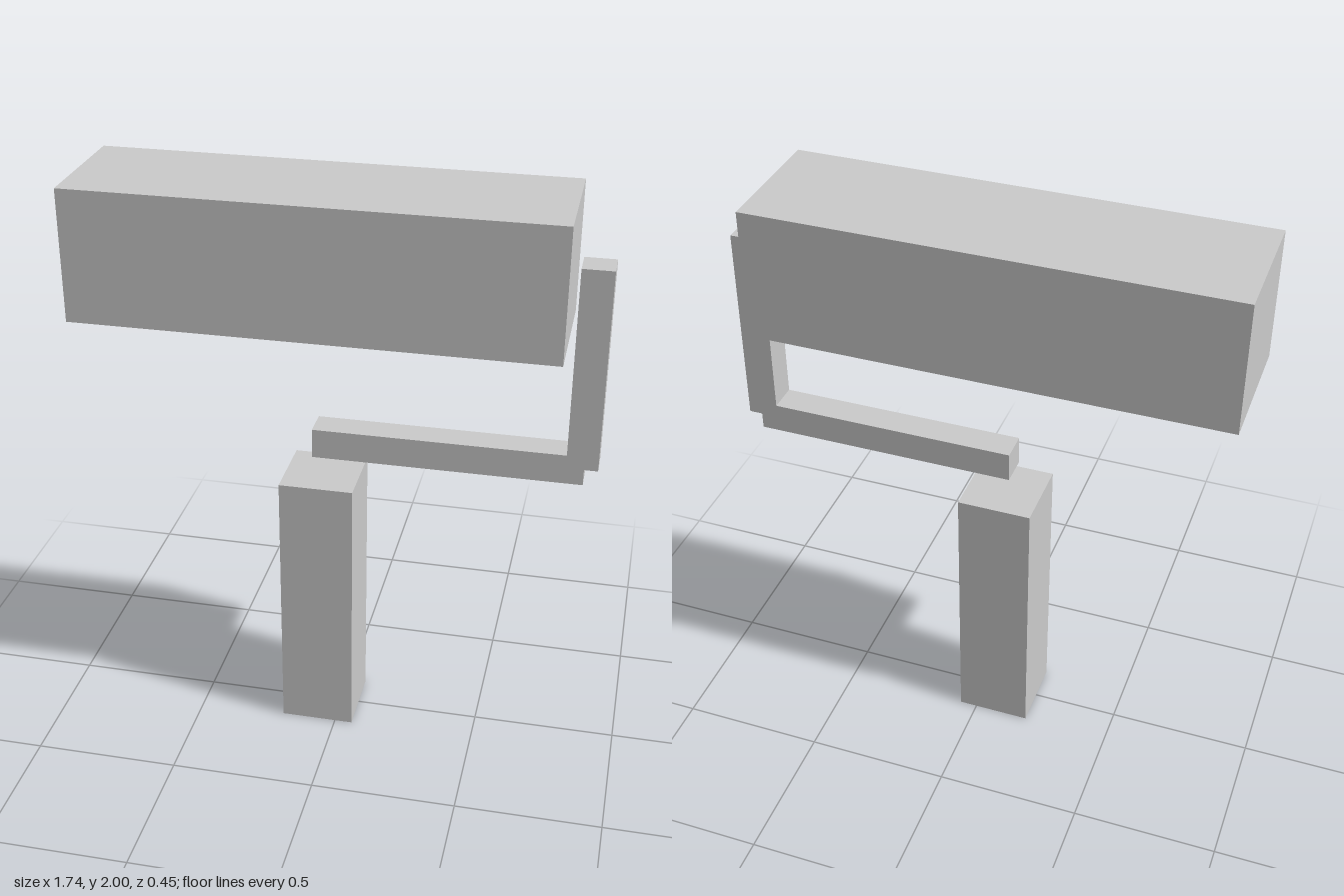
import * as THREE from 'three';

const material = new THREE.MeshStandardMaterial({ color: 0xcccccc, flatShading: true });

// Box spanning x0..x1 and y0..y1, centred on z = 0
function block(name, x0, x1, y0, y1, depth) {
  const mesh = new THREE.Mesh(new THREE.BoxGeometry(x1 - x0, y1 - y0, depth), material);
  mesh.name = name;
  mesh.position.set((x0 + x1) / 2, (y0 + y1) / 2, 0);
  return mesh;
}

export function createModel() {
  const model = new THREE.Group();
  model.name = 'paintRoller';

  // Upright grip and the wide roller head
  model.add(block('handle', -0.194, 0.062, 0, 0.968, 0.258));
  model.add(block('rollerHead', -0.87, 0.74, 1.549, 2, 0.45));

  // Bent frame: the two bars overlap in a stepped corner
  const frame = new THREE.Group();
  frame.name = 'frame';
  frame.add(block('lowerArm', -0.094, 0.822, 1.048, 1.152, 0.104));
  frame.add(block('sideArm', 0.763, 0.868, 1.105, 1.804, 0.104));
  model.add(frame);

  return model;
}
